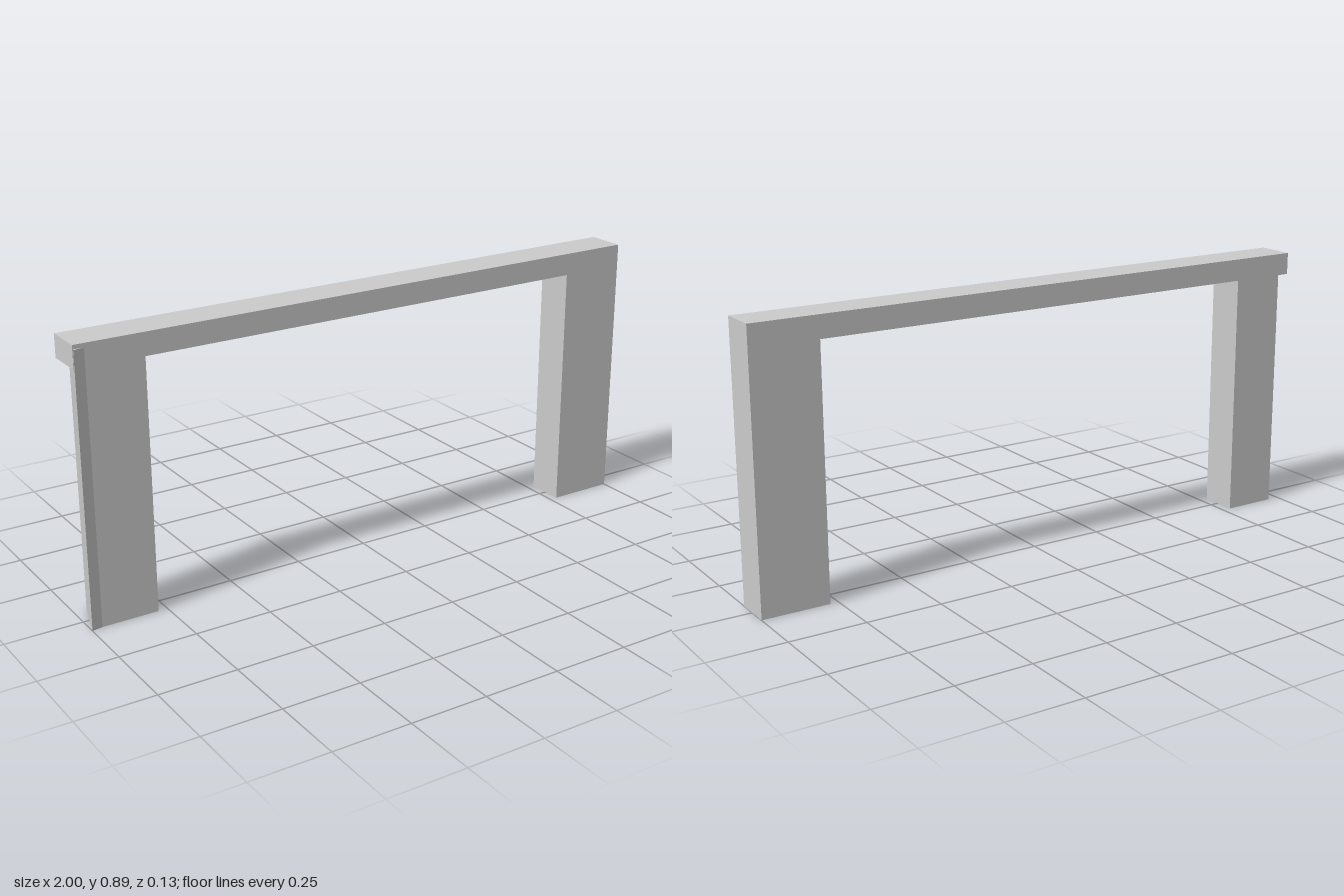
import * as THREE from 'three';

const FRONT = 0.06, BACK = -0.067, LIP = 0.067;
const UNDERSIDE = 0.815, TOP = 0.888, LIP_TOP = 0.875;

// Upright prism from a plan outline of [x, z] points
function prism(name, plan, y0, y1, material) {
  const shape = new THREE.Shape(plan.map(([x, z]) => new THREE.Vector2(x, -z)));
  const geometry = new THREE.ExtrudeGeometry(shape, { depth: y1 - y0, bevelEnabled: false });
  geometry.rotateX(-Math.PI / 2).translate(0, y0, 0);
  const mesh = new THREE.Mesh(geometry, material);
  mesh.name = name;
  return mesh;
}

const rectangle = (x0, x1) => [[x0, FRONT], [x1, FRONT], [x1, BACK], [x0, BACK]];

export function createModel() {
  const group = new THREE.Group();
  group.name = 'portalFrame';
  const material = new THREE.MeshStandardMaterial({ color: 0xcccccc, flatShading: true });

  // Crossbeam over both legs
  group.add(prism('crossbeam', rectangle(-1, 1), UNDERSIDE, TOP, material));

  // Square leg on the left
  group.add(prism('leftLeg', rectangle(0.777, 1), 0, UNDERSIDE, material));

  // Right leg with a slanted outer side and a sharp front corner
  const slantedPlan = [[-1, LIP], [-0.965, FRONT], [-0.78, FRONT], [-0.78, BACK], [-0.96, BACK]];
  group.add(prism('rightLeg', slantedPlan, 0, UNDERSIDE, material));

  // The sharp corner runs on up the front of the beam
  const lipPlan = [[-1, LIP], [-0.965, FRONT], [-0.998, FRONT]];
  group.add(prism('rightLegLip', lipPlan, UNDERSIDE, LIP_TOP, material));

  return group;
}
